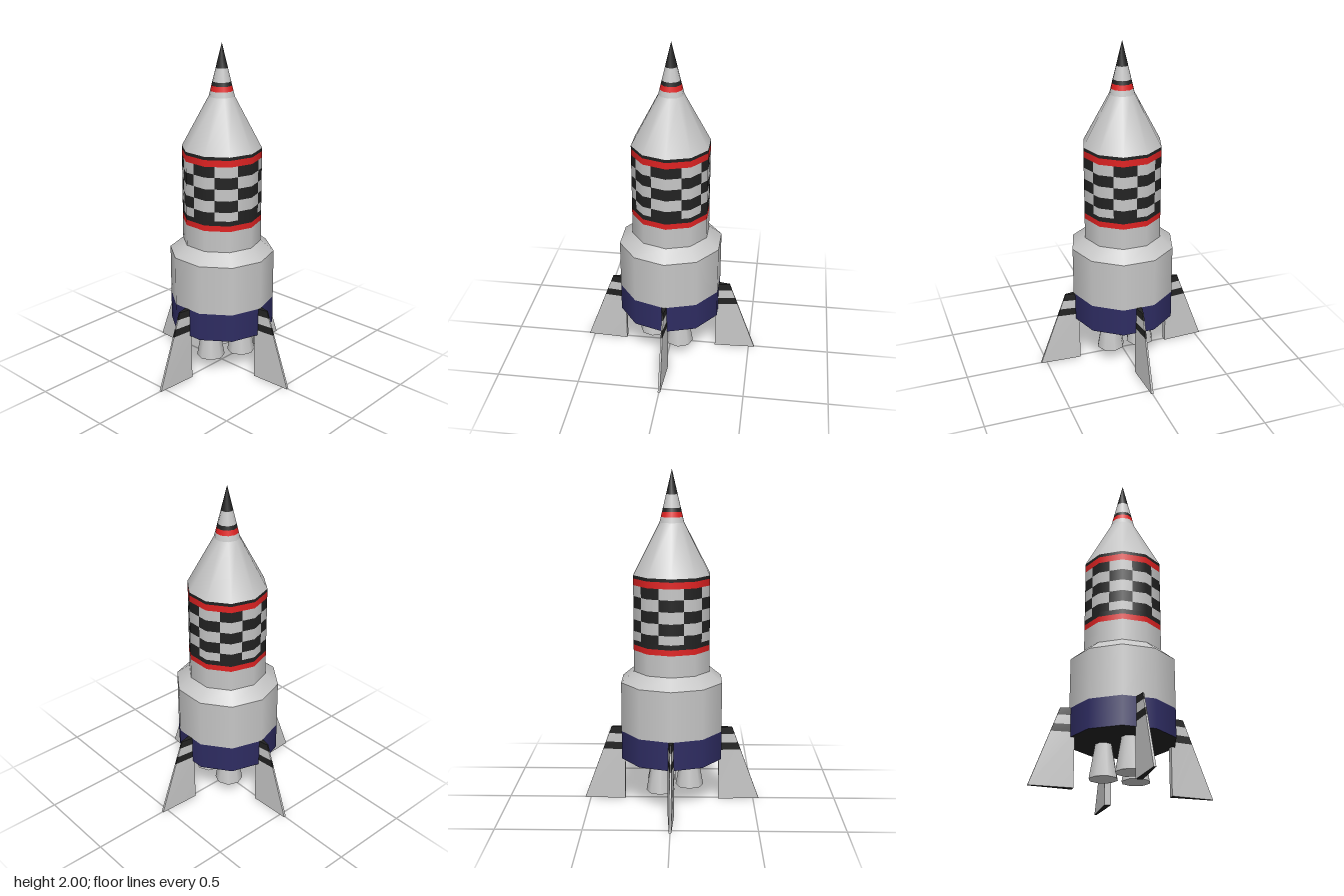
import * as THREE from 'three';
import { mergeGeometries } from 'three/addons/utils/BufferGeometryUtils.js';

const SIDES = 10;
const STEP = 360 / SIDES;
const rad = THREE.MathUtils.degToRad;

const material = (name, color) => {
  const m = new THREE.MeshStandardMaterial({ color });
  m.name = name;
  return m;
};

// Part of a ten-sided frustum between two angles (degrees from +x towards +z), with smooth normals
function shell(y0, r0, y1, r1, a0 = 0, a1 = 360) {
  const angles = [a0];
  for (let a = (Math.floor(a0 / STEP) + 1) * STEP; a < a1; a += STEP) angles.push(a);
  angles.push(a1);
  const pos = [], nor = [], idx = [];
  angles.forEach((a, i) => {
    const inFace = ((a % STEP) + STEP) % STEP - STEP / 2;
    const k = Math.cos(rad(STEP / 2)) / Math.cos(rad(inFace)); // distance to the flat side
    const c = Math.cos(rad(a)), s = Math.sin(rad(a));
    const n = new THREE.Vector3(c * (y1 - y0), r0 - r1, s * (y1 - y0)).normalize();
    for (const [y, r] of [[y0, r0], [y1, r1]]) {
      pos.push(c * r * k, y, s * r * k);
      nor.push(n.x, n.y, n.z);
    }
    if (i > 0) {
      const p = 2 * (i - 1);
      idx.push(p, p + 1, p + 2, p + 2, p + 1, p + 3);
    }
  });
  const g = new THREE.BufferGeometry();
  g.setAttribute('position', new THREE.Float32BufferAttribute(pos, 3));
  g.setAttribute('normal', new THREE.Float32BufferAttribute(nor, 3));
  g.setIndex(idx);
  return g;
}

// Slab of a fin between two heights; outer edge slopes in and the section tapers outwards
function finSlab(y0, y1) {
  const g = new THREE.BoxGeometry(1, 1, 1);
  const p = g.attributes.position;
  for (let i = 0; i < p.count; i++) {
    const y = p.getY(i) < 0 ? y0 : y1;
    const t = y / 0.457;
    const outer = p.getX(i) > 0;
    const half = outer ? THREE.MathUtils.lerp(0.007, 0.004, t) : 0.019;
    p.setXYZ(i, outer ? THREE.MathUtils.lerp(0.535, 0.367, t) : 0.285, y, Math.sign(p.getZ(i)) * half);
  }
  g.computeVertexNormals();
  return g;
}

export function createModel() {
  const grey = material('light grey', 0xc6c6c6);
  const black = material('black', 0x222222);
  const red = material('red', 0xe02222);
  const blue = material('navy blue', 0x2e2c62);

  const rocket = new THREE.Group();
  rocket.name = 'rocket';
  const add = (name, geometry, mat, parent = rocket) => {
    const mesh = new THREE.Mesh(geometry, mat);
    mesh.name = name;
    parent.add(mesh);
    return mesh;
  };

  // Hull sections from the bottom up: name, y0, r0, y1, r1, material
  const R = 0.314, r = 0.235;
  const nose = y => 0.075 * (2 - y) / 0.305;
  const sections = [
    ['engineSkirt', 0.285, R, 0.457, R, blue],
    ['lowerHull', 0.457, R, 0.757, R, grey],
    ['shoulder', 0.757, R, 0.822, r, grey],
    ['upperHull', 0.822, r, 0.95, r, grey],
    ['lowerRedBand', 0.95, r, 0.984, r, red],
    ['lowerBlackBand', 0.984, r, 1.013, r, black],
    ['upperRedBand', 1.337, r, 1.376, r, red],
    ['upperBlackBand', 1.376, r, 1.395, r, black],
    ['noseCone', 1.395, r, 1.695, 0.075, grey],
    ['noseCollar', 1.695, 0.075, 1.727, nose(1.727), grey],
    ['noseRedBand', 1.727, nose(1.727), 1.757, nose(1.757), red],
    ['noseBlackBand', 1.757, nose(1.757), 1.78, nose(1.78), black],
    ['noseSpike', 1.78, nose(1.78), 1.857, nose(1.857), grey],
    ['noseTip', 1.857, nose(1.857), 2, 0, black],
  ];
  for (const [name, y0, r0, y1, r1, mat] of sections) add(name, shell(y0, r0, y1, r1), mat);

  // Underside of the hull
  const base = add('hullBase', new THREE.CircleGeometry(R, SIDES), black);
  base.rotation.x = Math.PI / 2;
  base.position.y = 0.285;

  // Chequered band: ten columns, five rows
  const columns = [-23, 23, 58, 93, 128, 161, 199, 232, 267, 302, 337];
  const rows = [1.337, 1.273, 1.204, 1.135, 1.066, 1.013];
  const tiles = [[], []];
  for (let i = 0; i < 10; i++)
    for (let j = 0; j < 5; j++)
      tiles[(i + j) % 2].push(shell(rows[j + 1], r, rows[j], r, columns[i], columns[i + 1]));
  add('blackTiles', mergeGeometries(tiles[0]), black);
  add('greyTiles', mergeGeometries(tiles[1]), grey);

  // Three engine nozzles
  for (const [x, z] of [[-0.092, -0.067], [0.1, -0.067], [0.008, 0.108]]) {
    const nozzle = add('nozzle', new THREE.CylinderGeometry(0.048, 0.085, 0.21, 8), grey);
    nozzle.position.set(x, 0.19, z);
  }

  // Four striped fins with black feet
  const levels = [0, 0.315, 0.36, 0.414, 0.457];
  for (let i = 0; i < 4; i++) {
    const fin = new THREE.Group();
    fin.name = 'fin';
    fin.rotation.y = i * Math.PI / 2;
    for (let j = 0; j < 4; j++) {
      const mat = j === 0 ? [grey, grey, grey, black, grey, grey] : j % 2 ? black : grey;
      add(j % 2 ? 'finStripe' : 'finPanel', finSlab(levels[j], levels[j + 1]), mat, fin);
    }
    rocket.add(fin);
  }
  return rocket;
}
